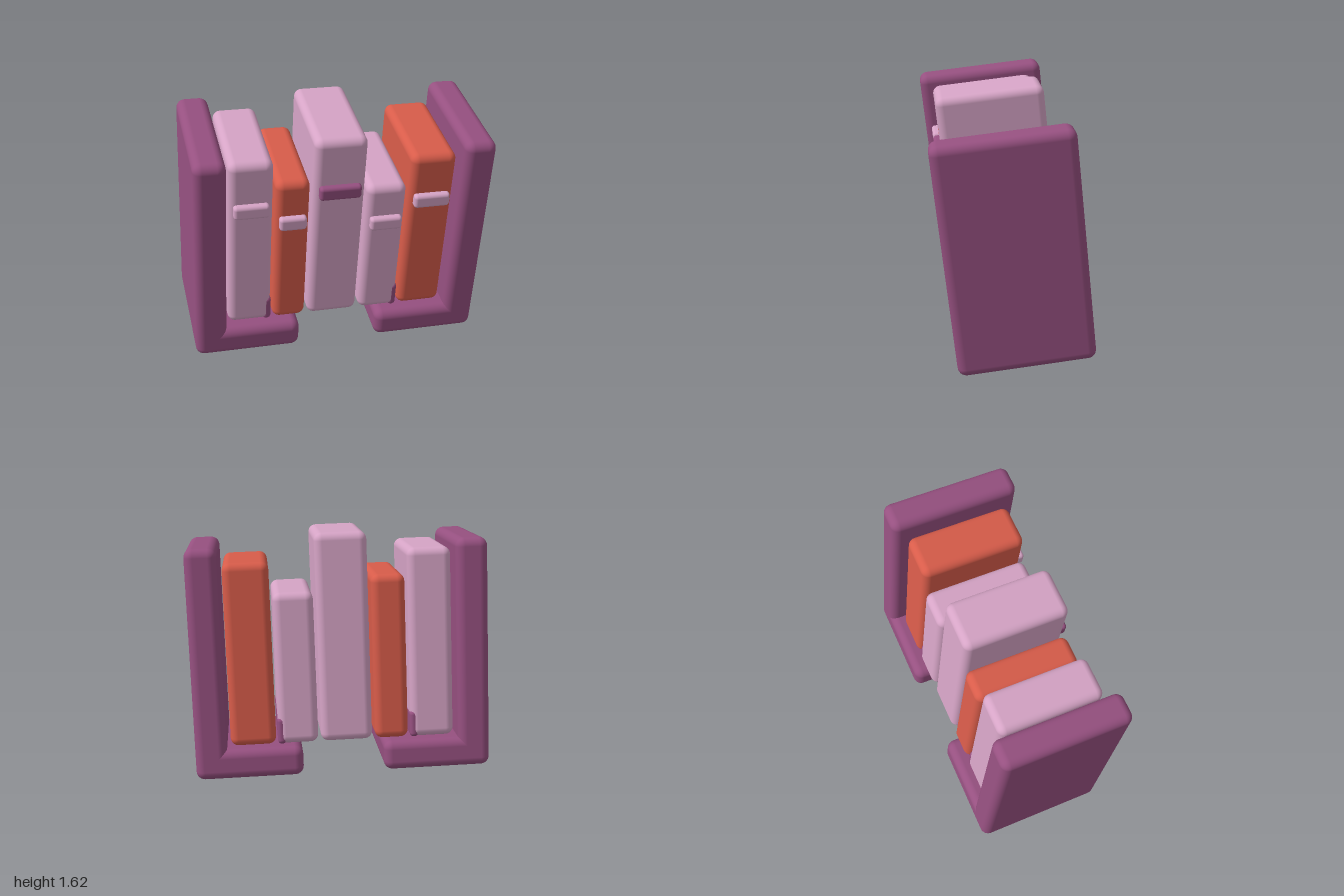
import * as THREE from 'three';
import { RoundedBoxGeometry } from 'three/addons/geometries/RoundedBoxGeometry.js';

export function createModel() {
  const mat = (name, color) => {
    const m = new THREE.MeshStandardMaterial({ color });
    m.name = name;
    return m;
  };
  const plum = mat('plum', 0x965080);
  const pink = mat('pink', 0xd6a4c6);
  const orange = mat('orange', 0xd85c4a);

  const model = new THREE.Group();
  model.name = 'booksAndBookends';
  const set = new THREE.Group();
  set.name = 'tiltedSet';
  model.add(set);

  // Rounded box given by its limits on each axis
  const box = (name, material, [x0, x1], [y0, y1], [z0, z1], radius, parent = set) => {
    const geo = new RoundedBoxGeometry(x1 - x0, y1 - y0, z1 - z0, 4, radius);
    const mesh = new THREE.Mesh(geo, material);
    mesh.name = name;
    mesh.position.set((x0 + x1) / 2, (y0 + y1) / 2, (z0 + z1) / 2);
    parent.add(mesh);
    return mesh;
  };

  // Pair of L-shaped bookends
  const outer = 0.9375, inner = 0.737, foot = 0.257, baseTop = 0.19;
  for (const side of [-1, 1]) {
    const end = new THREE.Group();
    end.name = side < 0 ? 'rightBookend' : 'leftBookend';
    const span = (a, b) => (side < 0 ? [-b, -a] : [a, b]);
    box('upright', plum, span(inner, outer), [0, 1.465], [-0.425, 0.425], 0.055, end);
    box('base', plum, span(foot, outer), [0, baseTop], [-0.425, 0.425], 0.055, end);
    set.add(end);
  }

  // Row of books: left limit, width, top, cover, label, plum patch at the foot
  const books = [
    [-0.718, 0.277, 1.408, pink, pink, true],
    [-0.426, 0.215, 1.25, orange, pink, false],
    [-0.194, 0.33, 1.525, pink, plum, false],
    [0.153, 0.255, 1.162, pink, pink, true],
    [0.423, 0.29, 1.36, orange, pink, false],
  ];
  const depth = 0.345;
  books.forEach(([x, w, top, cover, label, patch], i) => {
    const book = new THREE.Group();
    book.name = 'book' + (i + 1);
    set.add(book);
    box('cover', cover, [x, x + w], [baseTop, top], [-depth, depth], 0.05, book);

    // Raised label on the spine
    const y = baseTop + 0.733 * (top - baseTop);
    box('spineLabel', label, [x + w * 0.1, x + w * 0.9], [y - 0.046, y + 0.046],
      [depth - 0.02, depth + 0.042], 0.022, book);

    // Small plum pad along the lower side
    if (patch) {
      box('footPad', plum, [x + w - 0.05, x + w + 0.004], [baseTop, baseTop + 0.17],
        [-depth + 0.004, depth - 0.004], 0.025, book);
    }
  });

  // Whole set is turned and leans forward
  set.rotation.set(THREE.MathUtils.degToRad(6.5), THREE.MathUtils.degToRad(-13.5), 0);
  set.position.set(0, 0.065, -0.083);
  return model;
}
